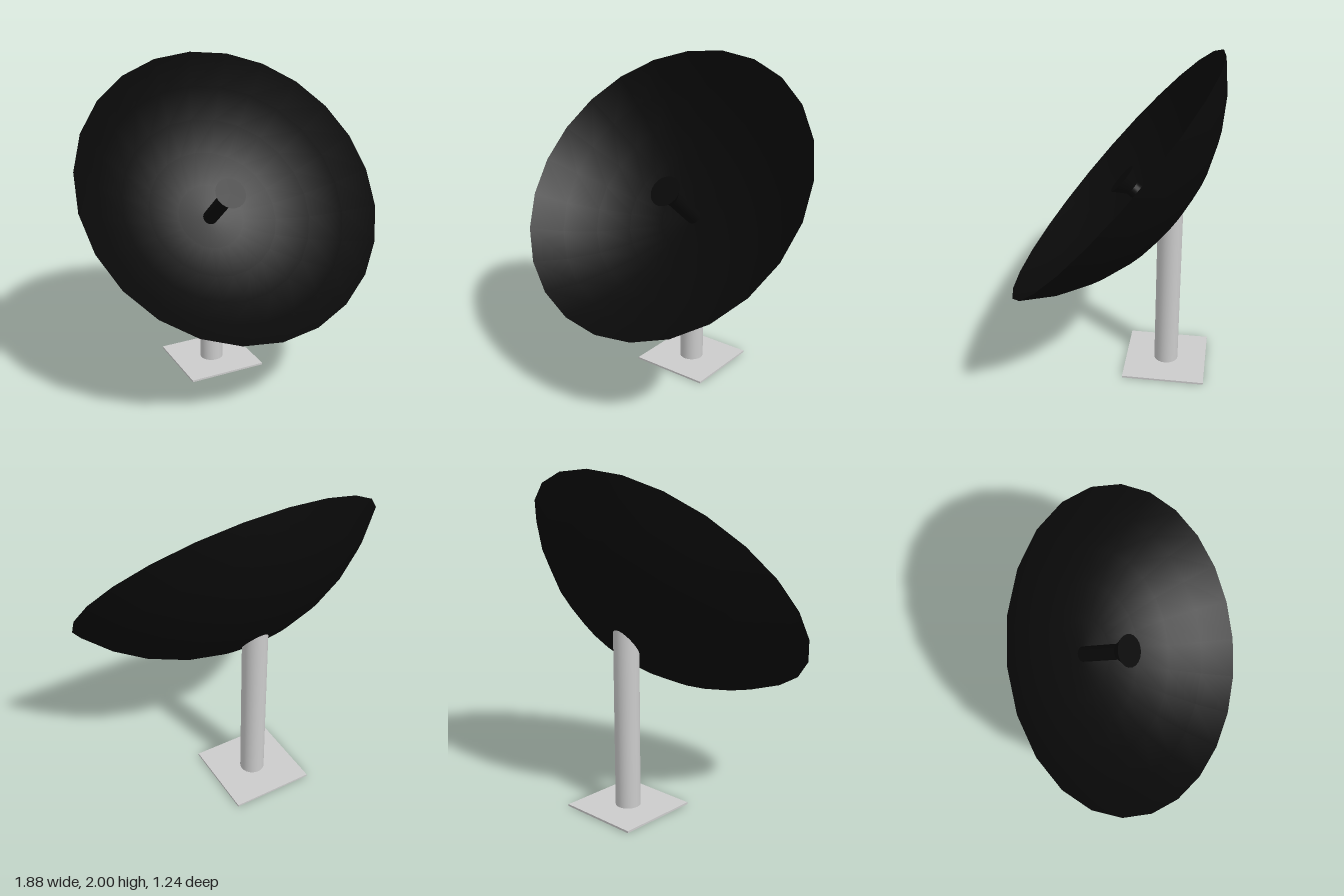
import * as THREE from 'three';

const R = 1.23;                                   // sphere the dish is cut from
const HALF = THREE.MathUtils.degToRad(50);        // half opening angle of the dish
const TILT = 0.868;                               // dish axis, leaning from +y towards +z
const APEX = new THREE.Vector3(0, 0.996, -0.326); // deepest point of the dish
const POST_Z = -0.325;

const grey = new THREE.MeshStandardMaterial({ color: 0xcccccc, side: THREE.DoubleSide });
const black = new THREE.MeshStandardMaterial({ color: 0x090909, side: THREE.DoubleSide });

function part(name, geometry, material, y = 0, z = 0) {
  const mesh = new THREE.Mesh(geometry, material);
  mesh.name = name;
  mesh.position.set(0, y, z);
  return mesh;
}

// Post whose top end follows the underside of the dish
function postGeometry() {
  const axis = new THREE.Vector3(0, Math.cos(TILT), Math.sin(TILT));
  const centre = APEX.clone().addScaledVector(axis, R);
  const geometry = new THREE.CylinderGeometry(0.075, 0.075, 1, 24, 1, true);
  geometry.translate(0, 0.5, 0);
  const p = geometry.attributes.position;
  for (let i = 0; i < p.count; i++) {
    if (p.getY(i) < 0.5) continue;
    const dz = p.getZ(i) + POST_Z - centre.z;
    p.setY(i, centre.y - Math.sqrt(R * R - p.getX(i) ** 2 - dz * dz) + 0.005);
  }
  return geometry;
}

export function createModel() {
  const model = new THREE.Group();
  model.name = 'satelliteDish';

  // Stand
  model.add(part('basePlate', new THREE.BoxGeometry(0.505, 0.012, 0.505), grey, 0.006, POST_Z));
  model.add(part('post', postGeometry(), grey, 0, POST_Z));

  // Tilted head, built along its own y axis from the dish apex
  const head = new THREE.Group();
  head.name = 'dishHead';
  head.position.copy(APEX);
  head.rotation.x = TILT;

  const profile = [];
  for (let i = 0; i <= 5; i++) {
    const a = (HALF * i) / 5;
    profile.push(new THREE.Vector2(R * Math.sin(a), R * (1 - Math.cos(a))));
  }
  head.add(part('reflector', new THREE.LatheGeometry(profile, 24), black));

  // Feed arm and flared receiver
  head.add(part('feedArm', new THREE.CylinderGeometry(0.047, 0.047, 0.31, 20), black, 0.155));
  head.add(part('receiver', new THREE.CylinderGeometry(0.098, 0.047, 0.08, 20), black, 0.345));

  model.add(head);
  return model;
}
